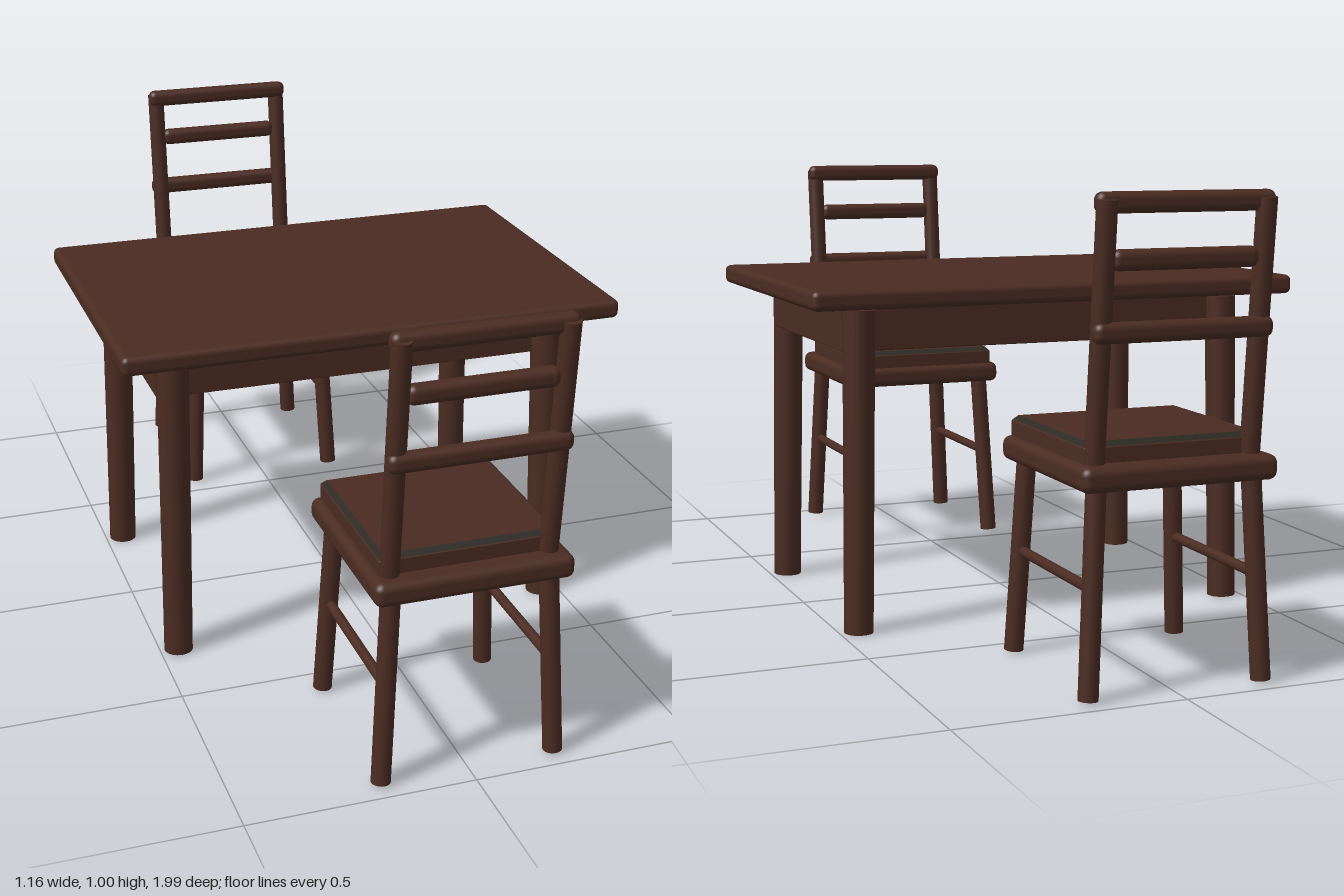
import * as THREE from 'three';
import { RoundedBoxGeometry } from 'three/addons/geometries/RoundedBoxGeometry.js';

export function createModel() {
  const wood = new THREE.MeshStandardMaterial({ color: 0x4a2c22 });
  wood.name = 'dark brown wood';
  const piping = new THREE.MeshStandardMaterial({ color: 0x2c2a22 });
  piping.name = 'dark seat piping';

  const add = (parent, name, geometry, material = wood) => {
    const mesh = new THREE.Mesh(geometry, material);
    mesh.name = name;
    parent.add(mesh);
    return mesh;
  };

  // Board with rounded edges, given by its centre and size
  const board = (parent, name, [x, y, z], [w, h, d], radius) => {
    const mesh = add(parent, name, new RoundedBoxGeometry(w, h, d, 3, radius));
    mesh.position.set(x, y, z);
    return mesh;
  };

  // Round bar between two points
  const bar = (parent, name, from, to, rFrom, rTo = rFrom) => {
    const a = new THREE.Vector3(...from);
    const b = new THREE.Vector3(...to);
    const dir = b.clone().sub(a);
    const mesh = add(parent, name, new THREE.CylinderGeometry(rTo, rFrom, dir.length(), 20));
    mesh.position.copy(a).add(b).multiplyScalar(0.5);
    mesh.quaternion.setFromUnitVectors(new THREE.Vector3(0, 1, 0), dir.normalize());
    return mesh;
  };

  const createTable = () => {
    const table = new THREE.Group();
    table.name = 'table';
    board(table, 'tableTop', [0, 0.753, 0], [1.16, 0.044, 0.785], 0.014);
    for (const s of [-1, 1]) {
      // Aprons under the top
      board(table, 'longApron', [0, 0.685, s * 0.275], [0.9, 0.11, 0.025], 0.003);
      board(table, 'shortApron', [s * 0.472, 0.685, 0], [0.025, 0.11, 0.56], 0.003);
      // Slightly splayed legs
      for (const t of [-1, 1]) {
        bar(table, 'tableLeg', [s * 0.457, 0, t * 0.297], [s * 0.446, 0.722, t * 0.287], 0.033, 0.036);
      }
    }
    return table;
  };

  // Chair with its back toward +z
  const createChair = () => {
    const chair = new THREE.Group();
    chair.name = 'chair';
    board(chair, 'seatFrame', [0, 0.446, 0.759], [0.43, 0.052, 0.43], 0.018);

    // Cushion with a chamfered, darker rim
    board(chair, 'cushion', [0, 0.483, 0.742], [0.39, 0.044, 0.374], 0.003);
    const rim = new THREE.CylinderGeometry(0.95 * Math.SQRT1_2, Math.SQRT1_2, 0.01, 4);
    rim.rotateY(Math.PI / 4).scale(0.386, 1, 0.37);
    const flat = rim.toNonIndexed();
    flat.computeVertexNormals();
    add(chair, 'cushionRim', flat, [piping, wood, wood]).position.set(0, 0.51, 0.742);

    for (const s of [-1, 1]) {
      bar(chair, 'backPost', [s * 0.172, 0.45, 0.923], [s * 0.172, 0.987, 0.976], 0.021);
      bar(chair, 'rearLeg', [s * 0.193, 0.005, 0.95], [s * 0.171, 0.44, 0.933], 0.021);
      bar(chair, 'frontLeg', [s * 0.193, 0.005, 0.565], [s * 0.171, 0.44, 0.585], 0.021);
      bar(chair, 'stretcher', [s * 0.182, 0.225, 0.57], [s * 0.182, 0.225, 0.945], 0.011);
    }

    // Back rails
    const rails = [
      ['topRail', 0.98, 0.966, 0.193],
      ['middleRail', 0.87, 0.964, 0.158],
      ['lowerRail', 0.731, 0.963, 0.194],
    ];
    for (const [name, y, z, half] of rails) {
      board(chair, name, [0, y, z], [half * 2, 0.042, 0.036], 0.016);
    }
    return chair;
  };

  const model = new THREE.Group();
  model.name = 'diningSet';
  const nearChair = createChair();
  const farChair = createChair();
  farChair.rotation.y = Math.PI;
  model.add(createTable(), nearChair, farChair);
  return model;
}
